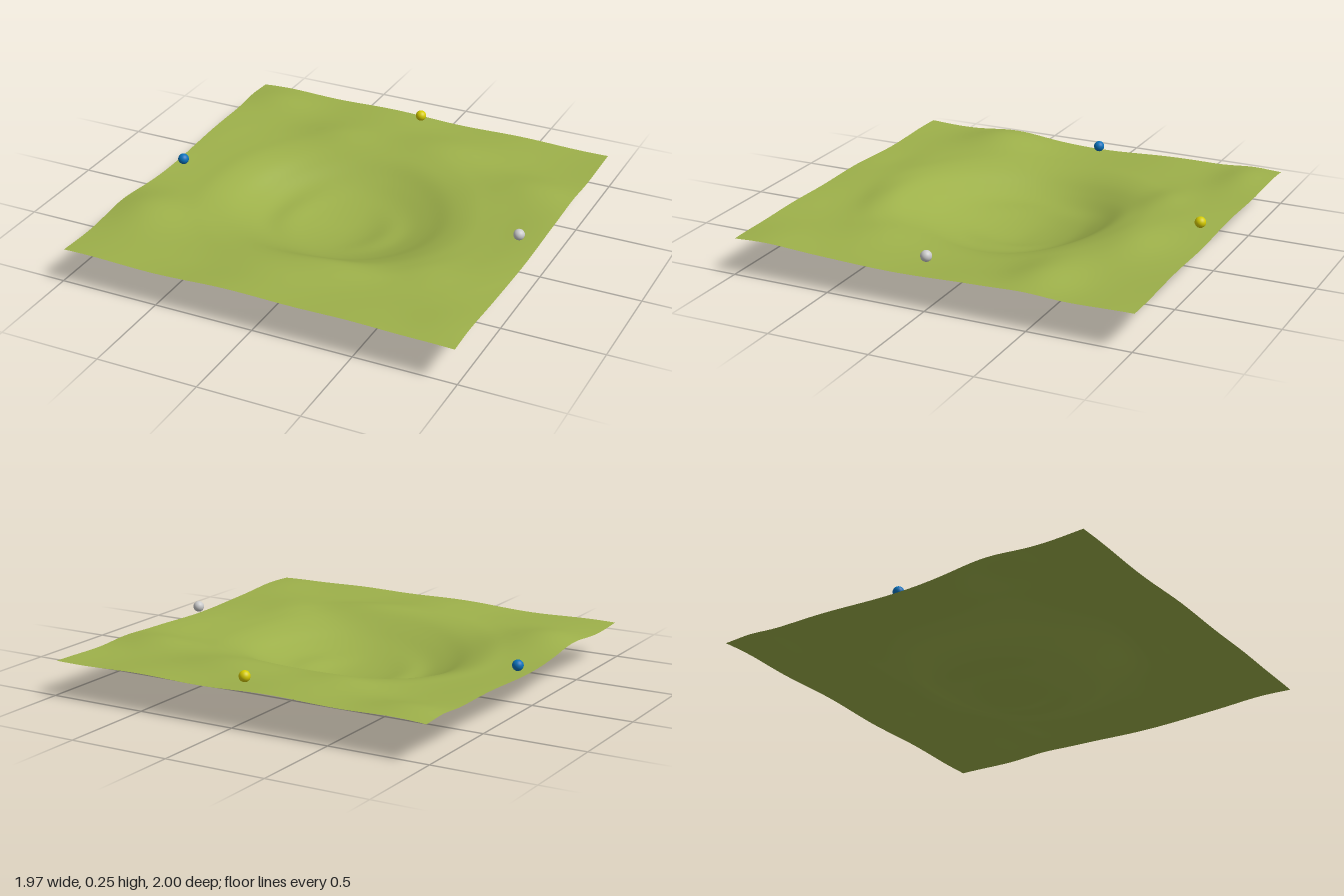
import * as THREE from 'three';

// Ground height along four directions out from the centre, every 0.1 units
const PROFILES = {
  right: [.004, .012, .034, .045, .075, .115, .14, .148, .152, .158, .162],
  left: [.004, .008, .02, .038, .042, .075, .12, .148, .155, .16, .163],
  front: [.004, .01, .025, .05, .085, .13, .17, .185, .185, .185, .185],
  back: [.004, .012, .03, .06, .11, .165, .185, .188, .188, .186, .185],
};

// Gentle swells around the hollow: x, z, width in x, width in z, height
const SWELLS = [
  [-.84, .5, .2, .2, .04],
  [.2, .6, .28, .12, .028],
  [.75, -.48, .22, .15, .035],
  [.2, -.68, .22, .14, .022],
  [-.82, -.85, .2, .12, .025],
  [-.35, -.62, .18, .1, .015],
  [.9, .85, .2, .2, .022],
  [-.3, .85, .2, .1, -.008],
  [.6, .45, .15, .15, .014],
];

// Smooth lookup in an evenly spaced profile
function sample(values, r) {
  const t = Math.min(r * 10, 10);
  const i = Math.min(Math.floor(t), 9);
  const f = t - i;
  const at = (k) => values[Math.min(Math.abs(k), 10)];
  const [a, b, c, d] = [at(i - 1), at(i), at(i + 1), at(i + 2)];
  return b + 0.5 * f * (c - a + f * (2 * a - 5 * b + 4 * c - d + f * (3 * (b - c) + d - a)));
}

function groundHeight(x, z) {
  const r = Math.hypot(x, z);
  const weight = r > 0 ? (x * x) / (r * r) : 0.5;
  const alongX = sample(x > 0 ? PROFILES.right : PROFILES.left, r);
  const alongZ = sample(z > 0 ? PROFILES.front : PROFILES.back, r);
  let y = weight * alongX + (1 - weight) * alongZ;
  for (const [cx, cz, wx, wz, h] of SWELLS) {
    y += h * Math.exp(-(((x - cx) / wx) ** 2) - ((z - cz) / wz) ** 2);
  }
  // small ripples that fade out inside the hollow
  const ripple = 0.004 * (Math.sin(9 * x + 3 * z) + Math.sin(8 * z - 4 * x + 1));
  return y + ripple * THREE.MathUtils.smoothstep(r, 0.4, 0.8);
}

export function createModel() {
  const model = new THREE.Group();

  // Thin sheet of rolling ground with a hollow in the middle
  const geometry = new THREE.PlaneGeometry(1.966, 2, 80, 80).rotateX(-Math.PI / 2);
  const p = geometry.attributes.position;
  for (let i = 0; i < p.count; i++) p.setY(i, groundHeight(p.getX(i), p.getZ(i)));
  geometry.computeVertexNormals();
  const ground = new THREE.Mesh(
    geometry,
    new THREE.MeshStandardMaterial({ color: 0x9db04a, side: THREE.DoubleSide }),
  );
  ground.name = 'ground';
  model.add(ground);

  // Small balls near three edges
  const ballGeometry = new THREE.SphereGeometry(0.027, 32, 20);
  const balls = [
    ['yellowBall', 0xd6cc00, -0.02, 0.228, -0.92],
    ['greyBall', 0xcccccc, 0.9, 0.228, 0.038],
    ['blueBall', 0x0a72bc, -0.93, 0.191, -0.015],
  ];
  for (const [name, color, x, y, z] of balls) {
    const ball = new THREE.Mesh(ballGeometry, new THREE.MeshStandardMaterial({ color }));
    ball.name = name;
    ball.position.set(x, y, z);
    model.add(ball);
  }
  return model;
}
